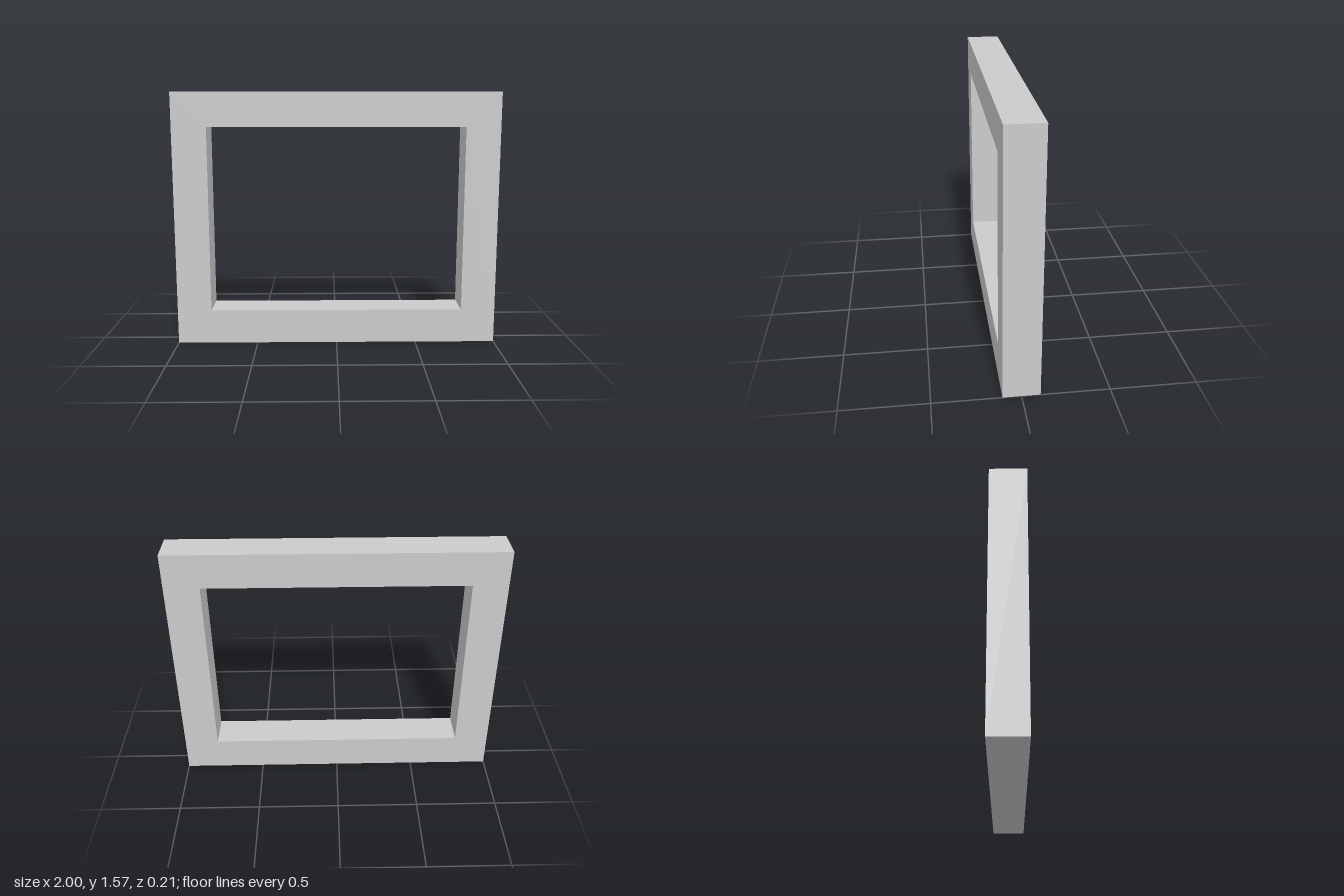
import * as THREE from 'three';

const WIDTH = 2, HEIGHT = 1.572, BORDER = 0.212, DEPTH = 0.213;

// Counter-clockwise rectangle outline, inset from the outer edge
function rectangle(path, inset) {
  const x = WIDTH / 2 - inset, y0 = inset, y1 = HEIGHT - inset;
  path.moveTo(-x, y0);
  path.lineTo(x, y0);
  path.lineTo(x, y1);
  path.lineTo(-x, y1);
  path.closePath();
  return path;
}

export function createModel() {
  const group = new THREE.Group();
  group.name = 'rectangularFrame';

  // One solid frame with a rectangular opening
  const shape = rectangle(new THREE.Shape(), 0);
  shape.holes.push(rectangle(new THREE.Path(), BORDER));
  const geometry = new THREE.ExtrudeGeometry(shape, { depth: DEPTH, bevelEnabled: false });
  geometry.translate(0, 0, -DEPTH / 2);

  const material = new THREE.MeshStandardMaterial({ color: 0xcccccc, flatShading: true });
  const frame = new THREE.Mesh(geometry, material);
  frame.name = 'frame';
  group.add(frame);
  return group;
}
